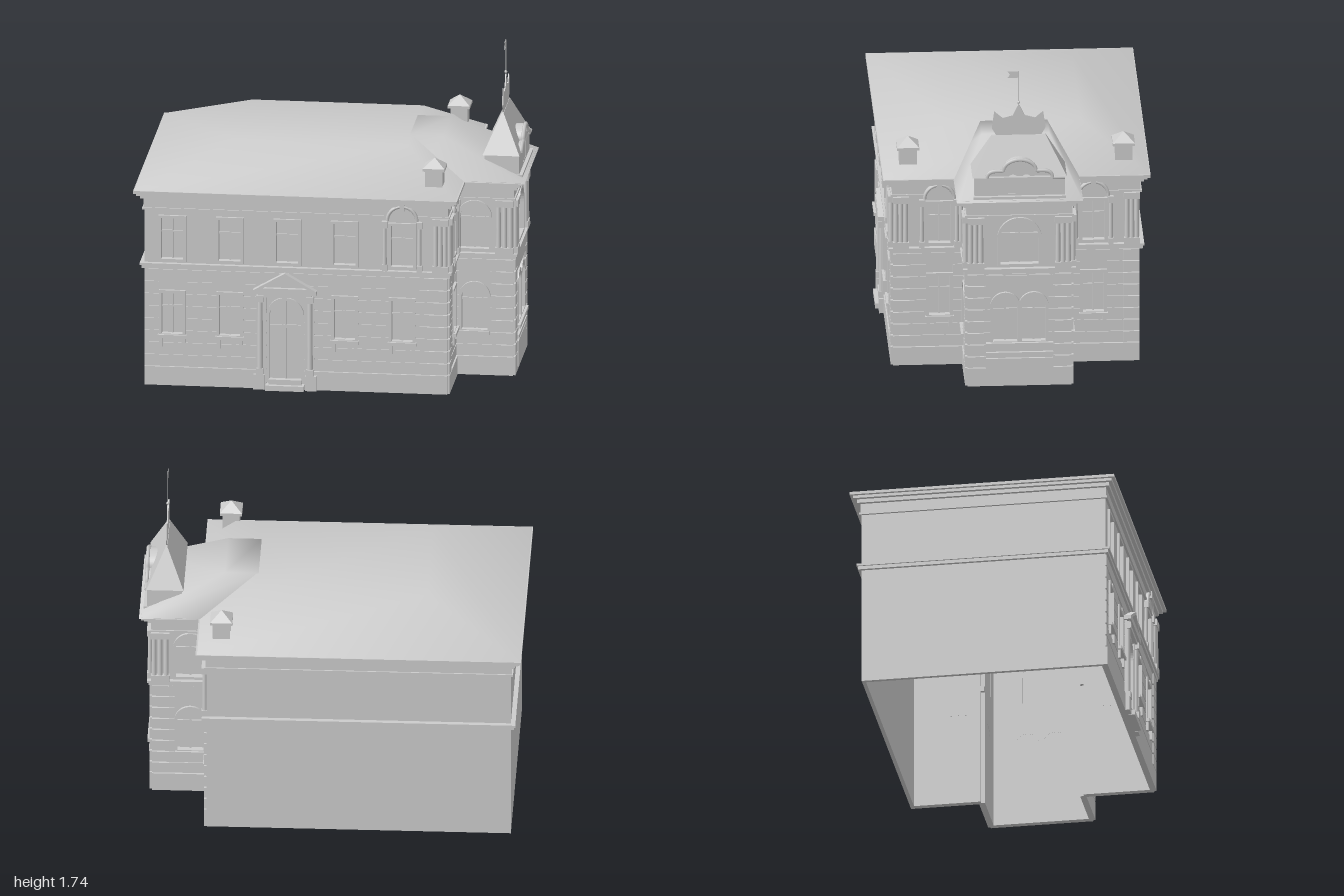
import * as THREE from 'three';

const grey = new THREE.MeshStandardMaterial({ color: 0xcccccc, side: THREE.DoubleSide });

function add(parent, name, geo, x = 0, y = 0, z = 0) {
  const m = new THREE.Mesh(geo, grey);
  m.name = name;
  m.position.set(x, y, z);
  parent.add(m);
  return m;
}
// box given by its horizontal centre, bottom, top and back plane
const block = (p, name, u, y0, y1, w, d, z = 0) =>
  add(p, name, new THREE.BoxGeometry(w, y1 - y0, d), u, (y0 + y1) / 2, z + d / 2);

const extrude = (shape, depth) =>
  new THREE.ExtrudeGeometry(shape, { depth, bevelEnabled: false, curveSegments: 10 });

const polygon = pts => new THREE.Shape(pts.map(p => new THREE.Vector2(p[0], p[1])));

// rectangular or round-headed opening, grown by t on all sides
function outline(o, t = 0, Kind = THREE.Shape) {
  const s = new Kind(), r = o.w / 2 + t, top = o.arch ? o.y1 - o.w / 2 : o.y1 + t;
  s.moveTo(o.u - r, o.y0 - t);
  s.lineTo(o.u + r, o.y0 - t);
  s.lineTo(o.u + r, top);
  if (o.arch) s.absarc(o.u, top, r, 0, Math.PI, false);
  else s.lineTo(o.u - r, top);
  s.closePath();
  return s;
}

// row of stone between a and b, interrupted by the openings
function course(p, a, b, y0, y1, depth, openings) {
  const cuts = openings.filter(o => o.y0 - 0.015 < y1 && o.y1 + 0.015 > y0).sort((m, n) => m.u - n.u);
  let start = a;
  for (const o of [...cuts, { u: b + 0.015, w: 0 }]) {
    const end = Math.min(b, o.u - o.w / 2 - 0.015);
    if (end - start > 0.004) block(p, 'stoneCourse', (start + end) / 2, y0, y1, end - start, depth);
    start = Math.max(a, o.u + o.w / 2 + 0.015);
  }
}

function column(p, u, y0 = 0.68, y1 = 0.93, r = 0.013, z = 0.01) {
  add(p, 'columnShaft', new THREE.CylinderGeometry(r * 0.85, r, y1 - y0, 12), u, (y0 + y1) / 2, z);
  block(p, 'columnBase', u, y0 - 0.02, y0 + 0.015, r * 2.5, r * 2.4, z - r * 1.2);
  block(p, 'columnCapital', u, y1 - 0.015, y1 + 0.02, r * 2.6, r * 2.5, z - r * 1.25);
}

// one facade: pierced panel, glazing, frames and stonework; u runs along it
function facade(root, name, x, z, turn, half, openings = [], rustic = true, quoins = []) {
  const g = new THREE.Group();
  g.name = name;
  g.position.set(x, 0, z);
  g.rotation.y = turn;
  root.add(g);
  const panel = polygon([[-half, 0], [half, 0], [half, 1.04], [-half, 1.04]]);
  openings.forEach(o => panel.holes.push(outline(o, 0, THREE.Path)));
  add(g, 'wall', extrude(panel, 0.02), 0, 0, -0.02);
  for (const o of openings) {
    const frame = outline(o, 0.015);
    frame.holes.push(outline(o, 0, THREE.Path));
    add(g, 'frame', extrude(frame, 0.014));
    add(g, 'pane', new THREE.ShapeGeometry(outline(o, 0.002)), 0, 0, -0.019);
    const h = o.y1 - o.y0;
    block(g, 'mullion', o.u, o.y0, o.y1 - 0.002, 0.009, 0.008, -0.018);
    block(g, 'transom', o.u, o.y0 + h * 0.64, o.y0 + h * 0.68, o.w, 0.008, -0.018);
    if (o.sill) {
      block(g, 'sill', o.u, o.y0 - 0.022, o.y0 - 0.004, o.w + 0.04, 0.026);
      for (const s of [-1, 1]) block(g, 'sillBracket', o.u + s * (o.w / 2 + 0.003), o.y0 - 0.07, o.y0 - 0.02, 0.018, 0.018);
    }
    if (o.hood) { // round hood over a columned window
      const r = 0.085, hood = new THREE.Shape().absarc(0, 0, r, 0, Math.PI, false);
      add(g, 'hoodPanel', extrude(hood, 0.016), o.u, 0.935, 0);
      add(g, 'hoodMoulding', new THREE.TorusGeometry(r - 0.008, 0.009, 6, 18, Math.PI), o.u, 0.935, 0.016);
      block(g, 'keystone', o.u, 0.99, 1.03, 0.025, 0.028);
      for (const s of [-1, 1]) column(g, o.u + s * 0.091, 0.68, 0.91, 0.011);
    }
  }
  if (rustic) {
    course(g, -half, half, 0, 0.1, 0.012, openings);
    for (let i = 0; i < 8; i++) {
      const y = 0.106 + i * 0.066;
      course(g, -half, half, y, y + 0.058, 0.006, openings);
      quoins.forEach(([a, b]) => course(g, a, b, y, y + 0.058, 0.012, openings));
    }
  }
  return g;
}

// moulding following the plan of the whole building
function band(root, name, y0, y1, off) {
  const plan = [[-0.945, -0.64], [0.635, -0.64], [0.635, -0.27], [0.935, -0.27],
    [0.935, 0.27], [0.635, 0.27], [0.635, 0.64], [-0.945, 0.64]];
  const grow = o => plan.map(([x, z]) => [x + o * Math.sign(x), -(z + o * Math.sign(z))]);
  const s = polygon(grow(off));
  s.holes.push(new THREE.Path(grow(-0.019).map(p => new THREE.Vector2(...p))));
  add(root, name, extrude(s, y1 - y0), 0, y0, 0).rotation.x = -Math.PI / 2;
}

// roof between a lower and an upper rectangle [x0, x1, z0, z1, y]
function hip(root, name, lo, hi, smooth) {
  const pos = [lo, hi].flatMap(([a, b, c, d, y]) => [a, y, d, b, y, d, b, y, c, a, y, c]);
  const index = [4, 5, 6, 4, 6, 7];
  for (let i = 0; i < 4; i++) {
    const j = (i + 1) % 4;
    index.push(i, j, j + 4, i, j + 4, i + 4);
  }
  let geo = new THREE.BufferGeometry();
  geo.setAttribute('position', new THREE.Float32BufferAttribute(pos, 3));
  geo.setIndex(index);
  if (!smooth) geo = geo.toNonIndexed();
  geo.computeVertexNormals();
  add(root, name, geo);
}

export function createModel() {
  const root = new THREE.Group();
  root.name = 'townHouse';
  const Q = Math.PI / 2;
  const upper = (u, hood) => ({ u, w: 0.115, y0: 0.685, y1: 0.905, hood });
  const lower = u => ({ u, w: 0.11, y0: 0.28, y1: 0.5, sill: true });

  // street front
  const xs = [-0.8, -0.5, -0.2, 0.1, 0.4].map(x => x + 0.155);
  const doorU = -0.055;
  const front = facade(root, 'frontFacade', -0.155, 0.64, 0, 0.79, [
    ...xs.map((u, i) => upper(u, i === 4)),
    ...xs.filter((u, i) => i !== 2).map(lower),
    { u: doorU, w: 0.165, y0: 0.05, y1: 0.48, arch: true },
  ], true, [[0.685, 0.79]]);
  [0.73, 0.755, 0.78].forEach(u => column(front, u));

  // entrance porch
  for (const s of [-1, 1]) {
    block(front, 'porchPier', doorU + s * 0.125, 0, 0.52, 0.05, 0.018);
    block(front, 'porchPedestal', doorU + s * 0.135, 0, 0.08, 0.06, 0.035);
    column(front, doorU + s * 0.13, 0.1, 0.49, 0.015, 0.02);
  }
  block(front, 'porchLintel', doorU, 0.5, 0.525, 0.28, 0.03);
  block(front, 'porchCornice', doorU, 0.52, 0.542, 0.33, 0.042);
  const pediment = polygon([[-0.165, 0.54], [0.165, 0.54], [0, 0.635]]);
  pediment.holes.push(new THREE.Path([[-0.115, 0.552], [0.115, 0.552], [0, 0.618]].map(p => new THREE.Vector2(...p))));
  add(front, 'pediment', extrude(pediment, 0.042), doorU);
  add(front, 'pedimentPanel', extrude(polygon([[-0.14, 0.545], [0.14, 0.545], [0, 0.625]]), 0.02), doorU);
  block(front, 'lowerStep', doorU, 0, 0.028, 0.2, 0.052);
  block(front, 'upperStep', doorU, 0.028, 0.055, 0.17, 0.03);

  // plain party walls
  facade(root, 'leftWall', -0.945, 0, -Q, 0.64, [], false);
  facade(root, 'backWall', -0.155, -0.64, Math.PI, 0.79, [], false);

  // right wall on both sides of the bay, and the bay flanks
  for (const s of [1, -1]) {
    const w = facade(root, 'rightWall', 0.635, s * 0.455, Q, 0.185,
      [upper(s * 0.055, true), lower(s * 0.055)], true, [s > 0 ? [-0.185, -0.1] : [0.1, 0.185]]);
    [0.12, 0.145, 0.17].forEach(d => column(w, -s * d));
    column(w, s * 0.168);
    const f = facade(root, 'bayFlank', 0.785, s * 0.27, s > 0 ? 0 : Math.PI, 0.15, [
      { u: -s * 0.05, w: 0.15, y0: 0.685, y1: 0.93, arch: true },
      { u: -s * 0.05, w: 0.135, y0: 0.245, y1: 0.49, arch: true },
    ], true, [s > 0 ? [0.06, 0.15] : [-0.15, -0.06]]);
    [0.075, 0.107, 0.138].forEach(d => column(f, s * d));
    block(f, 'baySill', -s * 0.05, 0.22, 0.24, 0.16, 0.026);
  }

  // bay front
  const bay = facade(root, 'bayFront', 0.935, 0, Q, 0.27, [
    { u: 0, w: 0.2, y0: 0.685, y1: 0.93, arch: true },
    { u: -0.074, w: 0.125, y0: 0.25, y1: 0.51, arch: true },
    { u: 0.074, w: 0.125, y0: 0.25, y1: 0.51, arch: true },
  ], true, [[-0.27, -0.185], [0.185, 0.27]]);
  for (const s of [-1, 1]) [0.2, 0.227, 0.254].forEach(d => column(bay, s * d));
  block(bay, 'baySill', 0, 0.225, 0.245, 0.35, 0.028);
  block(bay, 'bayApron', 0, 0.17, 0.19, 0.35, 0.02);
  block(bay, 'bayBasePanel', 0, 0.02, 0.155, 0.35, 0.017);
  block(bay, 'bayUpperPanel', 0, 0.54, 0.62, 0.35, 0.012);

  // string courses and cornice
  band(root, 'beltCourse', 0.632, 0.65, 0.016);
  band(root, 'beltLedge', 0.65, 0.662, 0.024);
  band(root, 'architrave', 0.948, 0.96, 0.012);
  band(root, 'frieze', 0.96, 1.01, 0.005);
  band(root, 'corniceBed', 1.01, 1.03, 0.022);
  band(root, 'corniceShelf', 1.03, 1.045, 0.04);
  band(root, 'corniceLip', 1.045, 1.06, 0.055);

  // main roof and bay roof
  hip(root, 'mainRoof', [-1, 0.685, -0.695, 0.695, 1.058], [-0.5, 0.395, -0.35, 0.35, 1.255], true);
  hip(root, 'bayRoof', [0.39, 1, -0.328, 0.328, 1.055], [0.385, 0.56, -0.175, 0.175, 1.256], true);

  // chimneys
  for (const s of [-1, 1]) {
    block(root, 'chimney', 0.56, 1.08, 1.2, 0.09, 0.09, s * 0.56 - 0.045);
    const z = s * 0.56;
    block(root, 'chimneyCollar', 0.56, 1.195, 1.21, 0.115, 0.115, z - 0.0575);
    hip(root, 'chimneyCap', [0.5025, 0.6175, z - 0.0575, z + 0.0575, 1.21], [0.558, 0.562, z - 0.002, z + 0.002, 1.255]);
  }

  // roof turret
  block(root, 'turretBase', 0.87, 1.05, 1.19, 0.18, 0.46, -0.23);
  hip(root, 'turretRoof', [0.772, 0.965, -0.245, 0.245, 1.18], [0.86, 0.87, -0.14, 0.14, 1.38]);

  // curved gable with twin lights
  const gable = new THREE.Group();
  gable.name = 'turretGable';
  gable.position.x = 0.9;
  gable.rotation.y = Q;
  root.add(gable);
  const face = new THREE.Shape();
  face.moveTo(-0.235, 1.07);
  face.lineTo(0.235, 1.07);
  face.lineTo(0.235, 1.178);
  face.lineTo(0.17, 1.178);
  face.quadraticCurveTo(0.17, 1.218, 0.12, 1.218);
  face.lineTo(0.085, 1.218);
  face.absellipse(0, 1.218, 0.085, 0.062, 0, Math.PI, false);
  face.lineTo(-0.12, 1.218);
  face.quadraticCurveTo(-0.17, 1.218, -0.17, 1.178);
  face.lineTo(-0.235, 1.178);
  const lights = [-0.035, 0.035].map(u => ({ u, w: 0.055, y0: 1.09, y1: 1.195, arch: true }));
  lights.forEach(o => face.holes.push(outline(o, 0, THREE.Path)));
  add(gable, 'gableFace', extrude(face, 0.062));
  lights.forEach(o => add(gable, 'gableLight', new THREE.ShapeGeometry(outline(o)), 0, 0, 0.045));
  const rim = face.getPoints(10).slice(2, -1).map(p => new THREE.Vector3(p.x, p.y, 0.066));
  const path = new THREE.CurvePath();
  for (let i = 1; i < rim.length; i++)
    if (rim[i].distanceTo(rim[i - 1]) > 1e-5) path.add(new THREE.LineCurve3(rim[i - 1], rim[i]));
  add(gable, 'gableMoulding', new THREE.TubeGeometry(path, 70, 0.01, 6));
  block(gable, 'gableLedge', 0, 1.06, 1.078, 0.48, 0.08);

  // ridge crest, flagpole and flag
  const finial = new THREE.Group();
  finial.name = 'finial';
  finial.position.x = 0.865;
  finial.rotation.y = Q;
  root.add(finial);
  const side = [[0.115, 1.375], [0.14, 1.42], [0.127, 1.512], [0.085, 1.475], [0.03, 1.49], [0.012, 1.53]];
  const crest = polygon([...side, [0, 1.55], ...side.map(([u, y]) => [-u, y]).reverse()]);
  add(finial, 'ridgeCrest', extrude(crest, 0.006), 0, 0, -0.003);
  add(finial, 'flagpole', new THREE.CylinderGeometry(0.0025, 0.0025, 0.2, 8), 0, 1.637, 0);
  add(finial, 'poleBall', new THREE.SphereGeometry(0.008, 12, 8), 0, 1.562, 0);
  const flag = polygon([[0, 1.7], [0, 1.735], [-0.058, 1.735], [-0.045, 1.718], [-0.058, 1.7]]);
  add(finial, 'flag', extrude(flag, 0.003), 0, 0, -0.0015);
  return root;
}
